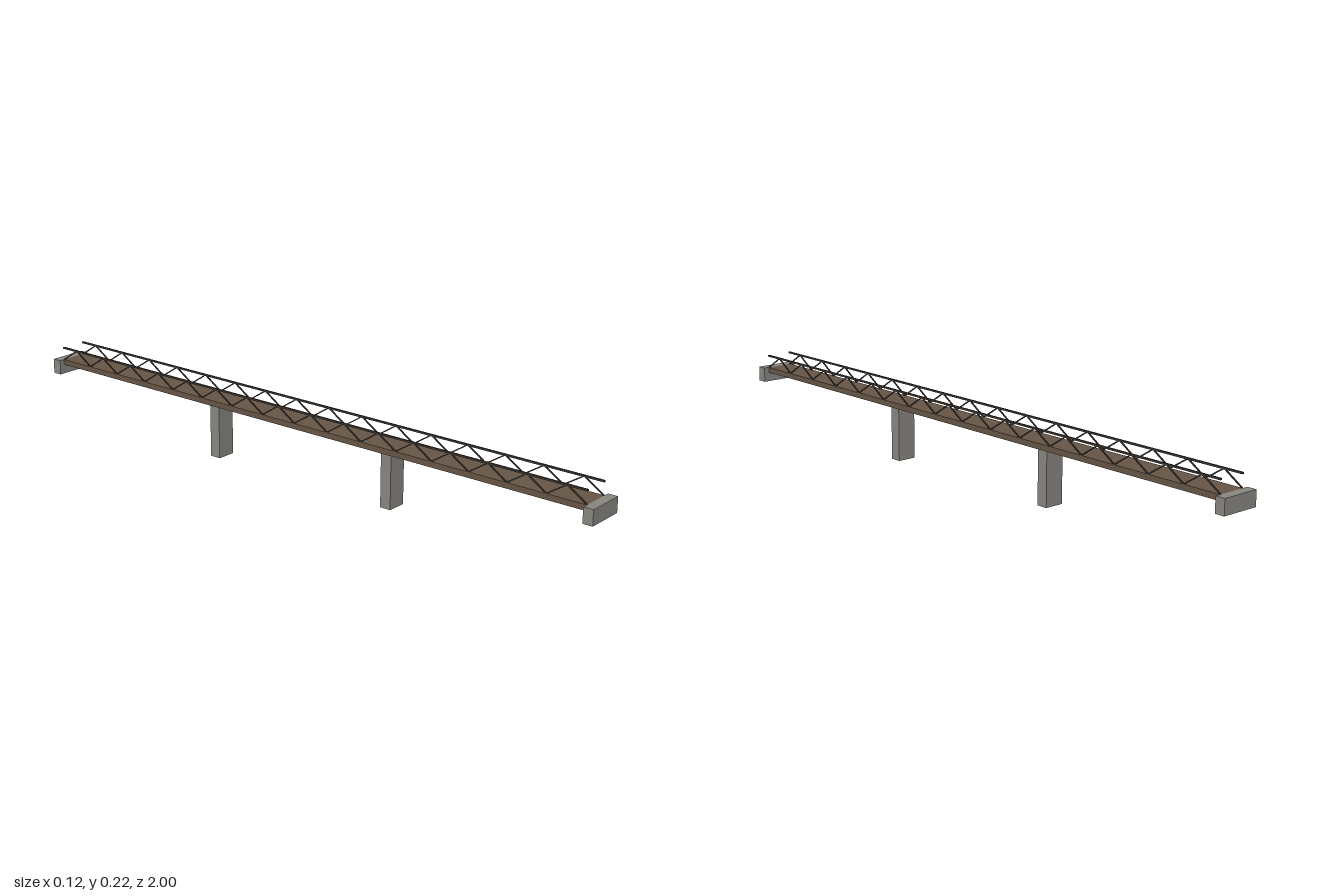
import * as THREE from 'three';

const concrete = new THREE.MeshStandardMaterial({ color: 0x87857f });
concrete.name = 'concrete';
const wood = new THREE.MeshStandardMaterial({ color: 0x665545 });
wood.name = 'brown deck';
const steel = new THREE.MeshStandardMaterial({ color: 0x3d3732 });
steel.name = 'dark steel';

const HALF = 0.97;      // half length of the span
const DECK_TOP = 0.183;
const RAIL_X = 0.041;
const RAIL_Y = 0.222;
const BAYS = 16;

export function createModel() {
  const model = new THREE.Group();
  model.name = 'footbridge';

  const box = (parent, name, material, size, position) => {
    const mesh = new THREE.Mesh(new THREE.BoxGeometry(...size), material);
    mesh.name = name;
    mesh.position.set(...position);
    parent.add(mesh);
    return mesh;
  };

  // Thin walkway
  box(model, 'deck', wood, [0.082, 0.006, HALF * 2], [0, DECK_TOP - 0.003, 0]);

  // End supports and river piers
  for (const s of [-1, 1]) {
    box(model, 'abutment', concrete, [0.12, 0.046, 0.03], [0, 0.16, s * 0.985]);
    box(model, 'pier', concrete, [0.06, 0.177, 0.035], [0, 0.0885, s * 0.323]);
  }

  // Edge beam and truss railing on each side
  for (const side of [-1, 1]) {
    box(model, 'edgeBeam', wood, [0.006, 0.017, HALF * 2], [side * 0.04, DECK_TOP - 0.0085, 0]);

    const railing = new THREE.Group();
    railing.name = 'railing';
    railing.position.x = side * RAIL_X;
    model.add(railing);
    box(railing, 'handrail', steel, [0.006, 0.005, HALF * 2], [0, RAIL_Y, 0]);

    // Zigzag diagonals between deck and handrail
    const step = HALF / BAYS;
    const rise = RAIL_Y - DECK_TOP;
    const length = Math.hypot(step, rise);
    for (let i = 0; i < BAYS * 2; i++) {
      const bar = box(railing, 'diagonal', steel, [0.0035, 0.0035, length],
        [0, DECK_TOP + rise / 2, -HALF + (i + 0.5) * step]);
      bar.rotation.x = (i % 2 ? 1 : -1) * Math.atan2(rise, step);
    }
  }
  return model;
}
